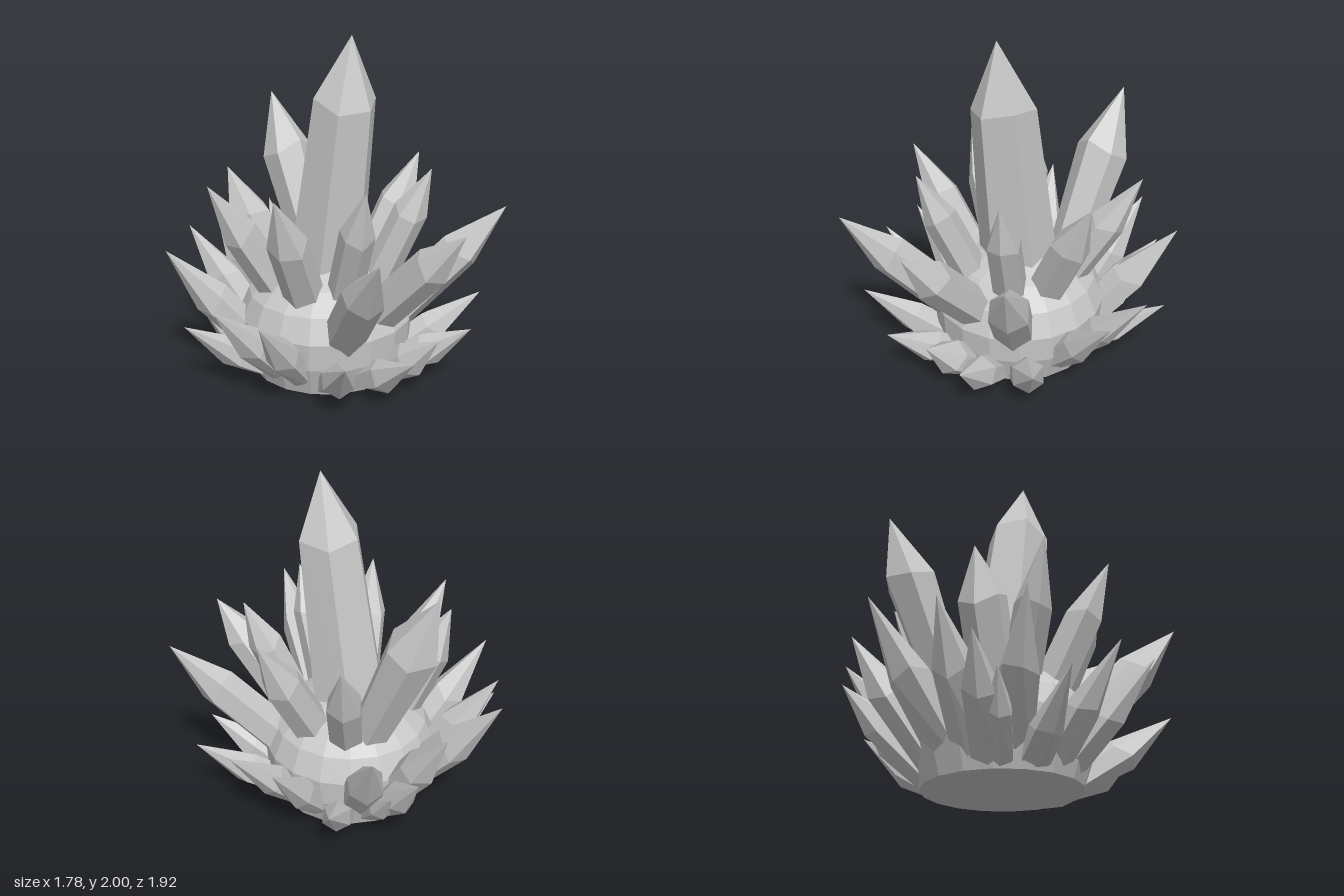
import * as THREE from 'three';

const stone = new THREE.MeshStandardMaterial({ color: 0xc8c8c8, flatShading: true });
stone.name = 'grey crystal';

// Keep everything on or above the floor
function clampFloor(geo) {
  const p = geo.attributes.position;
  for (let i = 0; i < p.count; i++) if (p.getY(i) < 0) p.setY(i, 0);
  geo.computeVertexNormals();
  return geo;
}

// Six-sided crystal from base point to tip: tapered shaft, then a point of length `point`
function crystal(name, base, tip, rBase, rShoulder, point) {
  const a = new THREE.Vector3(...base);
  const d = new THREE.Vector3(...tip).sub(a);
  const len = d.length();
  const profile = [[0, 0], [rBase, 0], [rShoulder, len - point], [0, len]]
    .map(([r, y]) => new THREE.Vector2(r, y));
  const geo = new THREE.LatheGeometry(profile, 6);
  // slightly uneven shoulders
  const p = geo.attributes.position;
  for (let i = 0; i < p.count; i++) {
    if (i % 4 === 2) p.setY(i, p.getY(i) + 0.08 * point * Math.sin(2.1 * (Math.floor(i / 4) % 6) + tip[0] * 5));
  }
  geo.rotateX(Math.atan2(Math.hypot(d.x, d.z), d.y));
  geo.rotateY(Math.atan2(d.x, d.z));
  geo.translate(a.x, a.y, a.z);
  const mesh = new THREE.Mesh(clampFloor(geo), stone);
  mesh.name = name;
  return mesh;
}

export function createModel() {
  const group = new THREE.Group();
  group.name = 'crystalCluster';

  // Rounded rock the crystals grow from
  const rock = [[0, 0], [0.45, 0], [0.51, 0.18], [0.52, 0.34], [0.46, 0.48], [0.35, 0.59], [0.2, 0.67], [0, 0.71]]
    .map(([r, y]) => new THREE.Vector2(r, y));
  const core = new THREE.Mesh(new THREE.LatheGeometry(rock, 18), stone);
  core.name = 'core';
  group.add(core);

  // Single crystals
  group.add(
    crystal('mainCrystal', [0, 0.3, -0.035], [0, 2, 0.185], 0.25, 0.185, 0.38),
    crystal('tallBackCrystal', [0.17, 0.35, -0.15], [0.255, 1.54, -0.665], 0.11, 0.155, 0.38),
    crystal('shortBackCrystal', [-0.15, 0.35, -0.17], [-0.3, 1.2, -0.5], 0.13, 0.135, 0.3),
    crystal('frontCrystal', [0, 0.34, 0.32], [0, 1.03, 0.96], 0.12, 0.115, 0.3),
    crystal('lowFrontCrystal', [0, 0, 0.4], [0, 0.38, 0.82], 0.115, 0.105, 0.26),
    crystal('backCrystal', [0, 0, -0.28], [0, 0.84, -0.96], 0.13, 0.115, 0.44),
  );

  // Mirrored pairs: name, base radius, base height, tip, shoulder radius, point length
  const pairs = [
    ['upperSideCrystal', 0.2, 0.35, [0.65, 1.22, 0.2], 0.115, 0.34],
    ['upperRearCrystal', 0.2, 0.35, [0.64, 1.2, -0.31], 0.105, 0.36],
    ['upperFrontCrystal', 0.24, 0.4, [0.3, 1.25, 0.53], 0.1, 0.3],
    ['longFrontCrystal', 0.3, 0.22, [0.6, 1.02, 0.85], 0.12, 0.38],
    ['midBackCrystal', 0.32, 0, [0.355, 0.78, -0.8], 0.11, 0.38],
    ['midRearCrystal', 0.3, 0, [0.75, 0.79, -0.56], 0.11, 0.42],
    ['sideCrystal', 0.34, 0.03, [0.89, 0.61, -0.03], 0.095, 0.4],
    ['sideFrontCrystal', 0.34, 0.03, [0.86, 0.6, 0.28], 0.095, 0.4],
    ['lowBackCrystal', 0.36, 0, [0.53, 0.57, -0.72], 0.095, 0.32],
    ['lowRearCrystal', 0.36, 0, [0.83, 0.41, -0.34], 0.09, 0.38],
    ['smallRearCrystal', 0.38, 0, [0.54, 0.42, -0.56], 0.075, 0.24],
    ['lowFrontSideCrystal', 0.38, 0, [0.65, 0.42, 0.68], 0.1, 0.36],
    ['lowFrontPairCrystal', 0.38, 0, [0.28, 0.36, 0.85], 0.1, 0.32],
  ];
  for (const [name, r, y, tip, radius, point] of pairs) {
    const k = r / Math.hypot(tip[0], tip[2]);
    for (const s of [1, -1]) {
      group.add(crystal(name + (s > 0 ? 'Left' : 'Right'),
        [s * tip[0] * k, y, tip[2] * k], [s * tip[0], tip[1], tip[2]], radius * 1.05, radius, point));
    }
  }
  return group;
}
